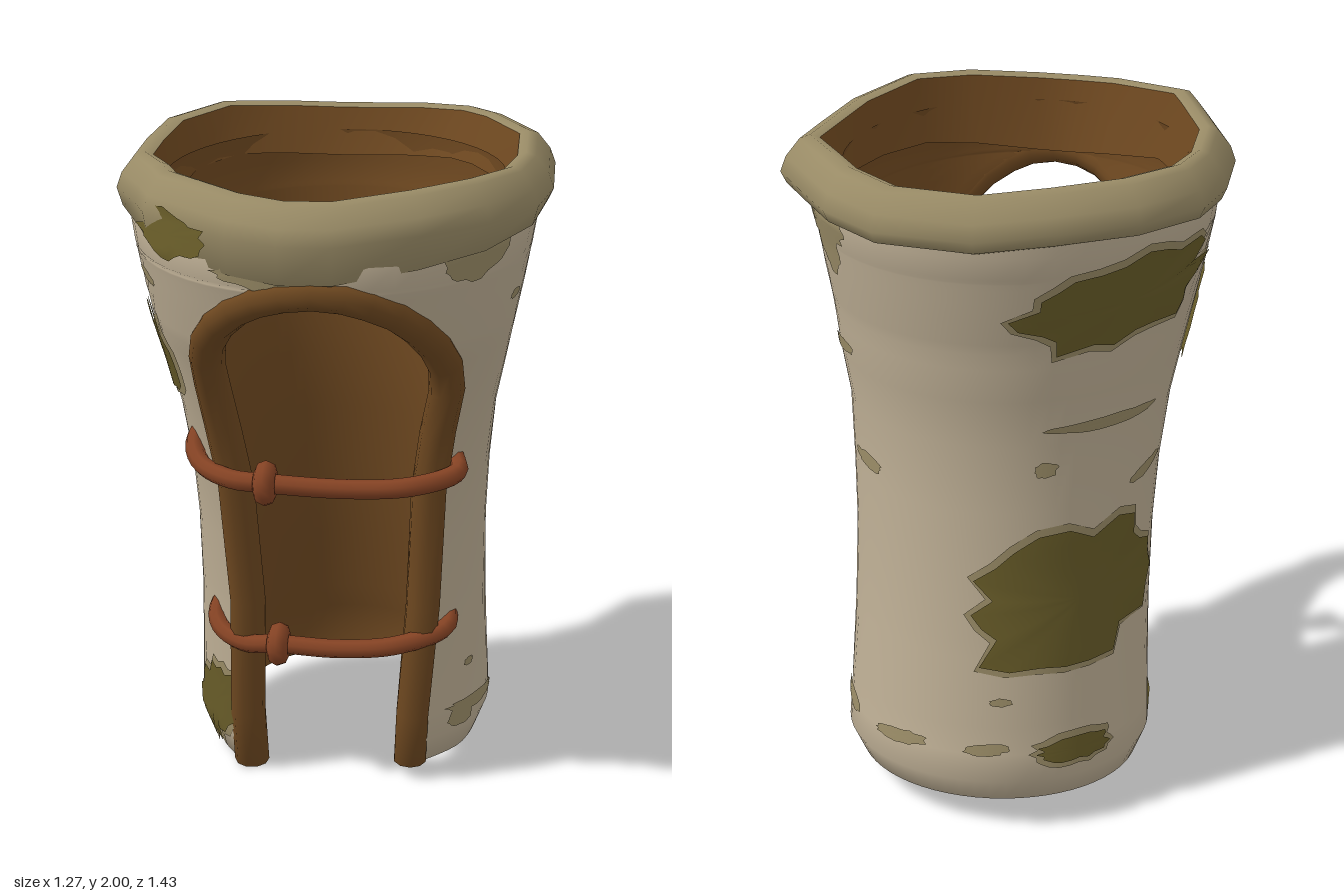
import * as THREE from 'three';
import { mergeVertices } from 'three/addons/utils/BufferGeometryUtils.js';

const mat = (name, color, side = THREE.FrontSide) =>
  Object.assign(new THREE.MeshStandardMaterial({ color, side }), { name });

// Cross-sections of the sleeve: height, half width, centre z, half depth
const SECTIONS = [
  [0, 0.43, -0.2, 0.435], [0.1, 0.465, -0.203, 0.473], [0.3, 0.458, -0.186, 0.456],
  [0.55, 0.45, -0.16, 0.453], [0.8, 0.45, -0.128, 0.452], [1, 0.46, -0.1, 0.47],
  [1.2, 0.48, -0.055, 0.5], [1.35, 0.51, -0.035, 0.548], [1.5, 0.54, 0.002, 0.6],
  [1.6, 0.56, 0.01, 0.629], [1.72, 0.582, 0.018, 0.659], [1.8, 0.595, 0.012, 0.673],
  [1.9, 0.585, 0, 0.655],
];
// Arched opening: height, right-hand limit -x, left-hand limit +x
const OPENING = [
  [0, -0.28, 0.28], [0.2, -0.28, 0.29], [0.6, -0.27, 0.32], [1, -0.29, 0.34],
  [1.2, -0.315, 0.37], [1.35, -0.33, 0.4], [1.45, -0.33, 0.4], [1.53, -0.31, 0.375],
  [1.6, -0.265, 0.33], [1.66, -0.2, 0.27], [1.7, -0.13, 0.2], [1.725, -0.05, 0.13],
  [1.735, 0.04, 0.04],
];
const ARCH = 1.735, WALL = 0.085;

function sample(table, y) {
  let i = 1;
  while (i < table.length - 1 && table[i][0] < y) i++;
  const a = table[i - 1], b = table[i];
  const t = THREE.MathUtils.clamp((y - a[0]) / (b[0] - a[0]), 0, 1);
  return a.map((v, k) => v + (b[k] - v) * t);
}

// Point on the sleeve; angle 0 is the front and grows towards +x
function onSleeve(angle, y, offset = 0) {
  const [, rx, zc, rz] = sample(SECTIONS, y);
  const s = Math.sin(angle), c = Math.cos(angle);
  const hem = (0.02 + 0.035 * (1 - c) + 0.085 * s * Math.max(0, c - 0.4)) * Math.max(0, 1 - y / 0.5);
  return new THREE.Vector3((rx + offset) * s, y + hem, zc + (rz + offset) * c);
}

function edgeAngles(y) {
  const [, xl, xr] = sample(OPENING, y), rx = sample(SECTIONS, y)[1];
  return [Math.asin(xl / rx), Math.asin(xr / rx)];
}

// Surface from a grid of points; u runs across and v along
function grid(nu, nv, point) {
  const pos = [], index = [];
  for (let v = 0; v <= nv; v++)
    for (let u = 0; u <= nu; u++) pos.push(...point(u, v).toArray());
  for (let v = 0; v < nv; v++)
    for (let u = 0; u < nu; u++) {
      const a = v * (nu + 1) + u, b = a + 1, c = a + nu + 1, d = c + 1;
      index.push(a, b, d, a, d, c);
    }
  let g = new THREE.BufferGeometry();
  g.setAttribute('position', new THREE.Float32BufferAttribute(pos, 3));
  g.setIndex(index);
  g = mergeVertices(g, 1e-5);
  g.computeVertexNormals();
  return g;
}

export function createModel() {
  const bark = mat('pale bark', 0xbdae94), tan = mat('tan bark', 0x998b66);
  const brown = mat('inner brown', 0x6e4820), cordMat = mat('red brown cord', 0x854324);
  const moss = mat('moss', 0x675b28, THREE.DoubleSide);
  const model = new THREE.Group();
  model.name = 'barkBracer';
  const add = (name, geometry, material, parent = model) => {
    const mesh = new THREE.Mesh(geometry, material);
    mesh.name = name;
    parent.add(mesh);
    return mesh;
  };

  // Sleeve: outer bark with a folded hem, and inner lining
  const rows = [...new Set([...SECTIONS, ...OPENING].map((r) => r[0]))].sort((a, b) => a - b);
  const COLS = 48;
  const wallPoint = (t, y, offset) => {
    const [l, r] = y >= ARCH ? Array(2).fill(edgeAngles(ARCH)[0]) : edgeAngles(y);
    return onSleeve(r + (2 * Math.PI + l - r) * t, y, offset);
  };
  add('outerBark', grid(COLS, rows.length, (u, v) =>
    wallPoint(u / COLS, rows[Math.max(0, v - 1)], v ? 0 : 0.03 - WALL)), bark);
  add('innerLining', grid(COLS, rows.length - 1, (u, v) =>
    wallPoint(1 - u / COLS, rows[v], v ? -WALL : 0.03 - WALL)), brown);

  // Rolled rim with an uneven outline, drooping at the front
  const outline = [
    [0.21, -0.72], [-0.07, -0.72], [-0.28, -0.64], [-0.49, -0.53], [-0.62, -0.31],
    [-0.64, -0.08], [-0.62, 0.17], [-0.51, 0.4], [-0.46, 0.51], [-0.2, 0.67],
    [-0.05, 0.71], [0.1, 0.7], [0.33, 0.6], [0.5, 0.46], [0.61, 0.2],
    [0.635, -0.05], [0.62, -0.3], [0.48, -0.5], [0.38, -0.62],
  ];
  const rimProfile = [
    [0.92, 1.755], [0.975, 1.77], [1, 1.88], [0.975, 1.925], [0.915, 1.975],
    [0.87, 1.985], [0.83, 1.975], [0.75, 1.76],
  ];
  const rimPoint = (u, [scale, y]) => {
    const [x, z] = outline[u % outline.length];
    const wave = -0.014 * Math.cos(4 * Math.atan2(x, z));
    const lift = y < 1.85 ? 0.075 * Math.min(1, 1 - z / 0.7) : 0;
    return new THREE.Vector3(x * scale, y + wave + lift, z * scale);
  };
  add('rim', grid(outline.length, 6, (u, v) => rimPoint(u, rimProfile[v])), tan);
  add('rimLining', grid(outline.length, 1, (u, v) => rimPoint(u, rimProfile[v + 6])), brown);

  // Rounded trim around the opening, standing a little proud of the bark
  const path = [];
  OPENING.forEach(([y]) => path.push([edgeAngles(y)[0], y]));
  OPENING.slice(0, -1).reverse().forEach(([y]) => path.push([edgeAngles(y)[1], y]));
  const last = path.length - 1;
  const mids = path.map(([a, y]) => onSleeve(a, y, -0.032));
  add('openingTrim', grid(10, last + 2, (u, v) => {
    const i = THREE.MathUtils.clamp(v - 1, 0, last);
    const size = v === 0 || v === last + 2 ? 0 : 1;
    const tangent = mids[Math.min(i + 1, last)].clone().sub(mids[Math.max(i - 1, 0)]).normalize();
    const out = onSleeve(...path[i]).sub(mids[i]).normalize();
    const inward = tangent.clone().cross(out).normalize();
    const phi = (u / 10) * Math.PI * 2;
    return mids[i].clone()
      .addScaledVector(out, Math.cos(phi) * 0.057 * size)
      .addScaledVector(inward, 0.008 + Math.sin(phi) * 0.05 * size);
  }), brown);

  // Two knotted cords across the opening
  const cords = {
    upperCord: [[-0.375, 1.16, 0.15], [-0.395, 1.11, 0.21], [-0.36, 1.07, 0.28], [-0.26, 1.055, 0.35],
      [-0.15, 1.055, 0.37], [0.1, 1.05, 0.365], [0.28, 1.06, 0.34], [0.4, 1.075, 0.24], [0.385, 1.095, 0.17]],
    lowerCord: [[-0.33, 0.58, 0.06], [-0.355, 0.52, 0.12], [-0.33, 0.485, 0.17], [-0.25, 0.465, 0.22],
      [-0.14, 0.475, 0.235], [0.05, 0.475, 0.24], [0.22, 0.49, 0.22], [0.36, 0.52, 0.13], [0.36, 0.55, 0.05]],
  };
  for (const [name, pts] of Object.entries(cords)) {
    const group = new THREE.Group();
    group.name = name;
    model.add(group);
    const curve = new THREE.CatmullRomCurve3(pts.map((p) => new THREE.Vector3(...p)));
    add('cord', new THREE.TubeGeometry(curve, 40, 0.029, 8), cordMat, group);
    const knot = add('knot', new THREE.TorusGeometry(0.035, 0.033, 8, 14), cordMat, group);
    knot.position.set(...pts[4]);
    knot.rotation.y = Math.PI / 2;
  }

  // Ragged patches that follow the bark
  let seed = 7;
  const rand = () => (seed = (seed * 16807) % 2147483647) / 2147483647;
  function patch(name, material, deg, y, w, h, { offset = 0.005, tilt = 0, rough = 0.35, grow = 0 } = {}) {
    const n = 26, rings = 5, start = seed;
    const r = Array.from({ length: n }, () => 1 - rough * rand());
    if (grow) seed = start;
    const [, rx, , rz] = sample(SECTIONS, y);
    const a0 = THREE.MathUtils.degToRad(deg), radius = (rx + rz) / 2;
    add(name, grid(n, rings, (u, v) => {
      const k = 1 - v / rings, phi = (u / n) * Math.PI * 2;
      const dx = Math.cos(phi) * k * (r[u % n] * w / 2 + grow);
      const dy = Math.sin(phi) * k * (r[u % n] * h / 2 + grow);
      return onSleeve(a0 + dx / radius, y + dy + dx * tilt, offset);
    }), material);
  }
  // Moss: angle, height, width, length, tilt
  const mossSpots = [
    [-130, 1.63, 0.82, 0.31, 0.06], [-136, 0.72, 0.8, 0.5, 0.1], [-136, 0.2, 0.3, 0.11, 0],
    [-68, 1.39, 0.29, 0.35, 0], [-53, 0.18, 0.3, 0.33, 0.4],
  ];
  for (const [deg, y, w, h, tilt] of mossSpots) {
    patch('mossEdge', tan, deg, y, w, h, { tilt, grow: 0.022 });
    patch('moss', moss, deg, y, w, h, { tilt, offset: 0.011 });
  }
  patch('rimMoss', moss, -37, 1.85, 0.32, 0.15, { offset: 0.046 });
  // Bark marks: angle, height, width, length, tilt
  const marks = [
    [76, 1.61, 0.09, 0.035, 0], [123, 1.39, 0.26, 0.05, 0.1], [134, 1.06, 0.19, 0.05, -0.05],
    [73, 0.17, 0.38, 0.055, -0.15], [117, 0.22, 0.25, 0.08, -0.15], [155, 0.21, 0.24, 0.06, 0.1],
    [66, 0.34, 0.06, 0.035, 0], [130, 1.79, 0.36, 0.13, 0], [132, 1.73, 0.17, 0.2, 0],
    [52, 1.79, 0.32, 0.15, 0.1], [-10, 1.77, 0.34, 0.08, 0], [-58, 1.67, 0.14, 0.045, -0.2],
    [60, 0.15, 0.15, 0.09, 0], [-130, 1.25, 0.44, 0.045, 0], [-105, 1.04, 0.2, 0.045, 0.2],
    [-152, 1.13, 0.08, 0.055, 0], [-165, 0.4, 0.08, 0.035, 0], [-170, 0.22, 0.16, 0.05, 0.1],
  ];
  for (const [deg, y, w, h, tilt] of marks) patch('barkMark', tan, deg, y, w, h, { tilt, rough: 0.25 });

  return model;
}
